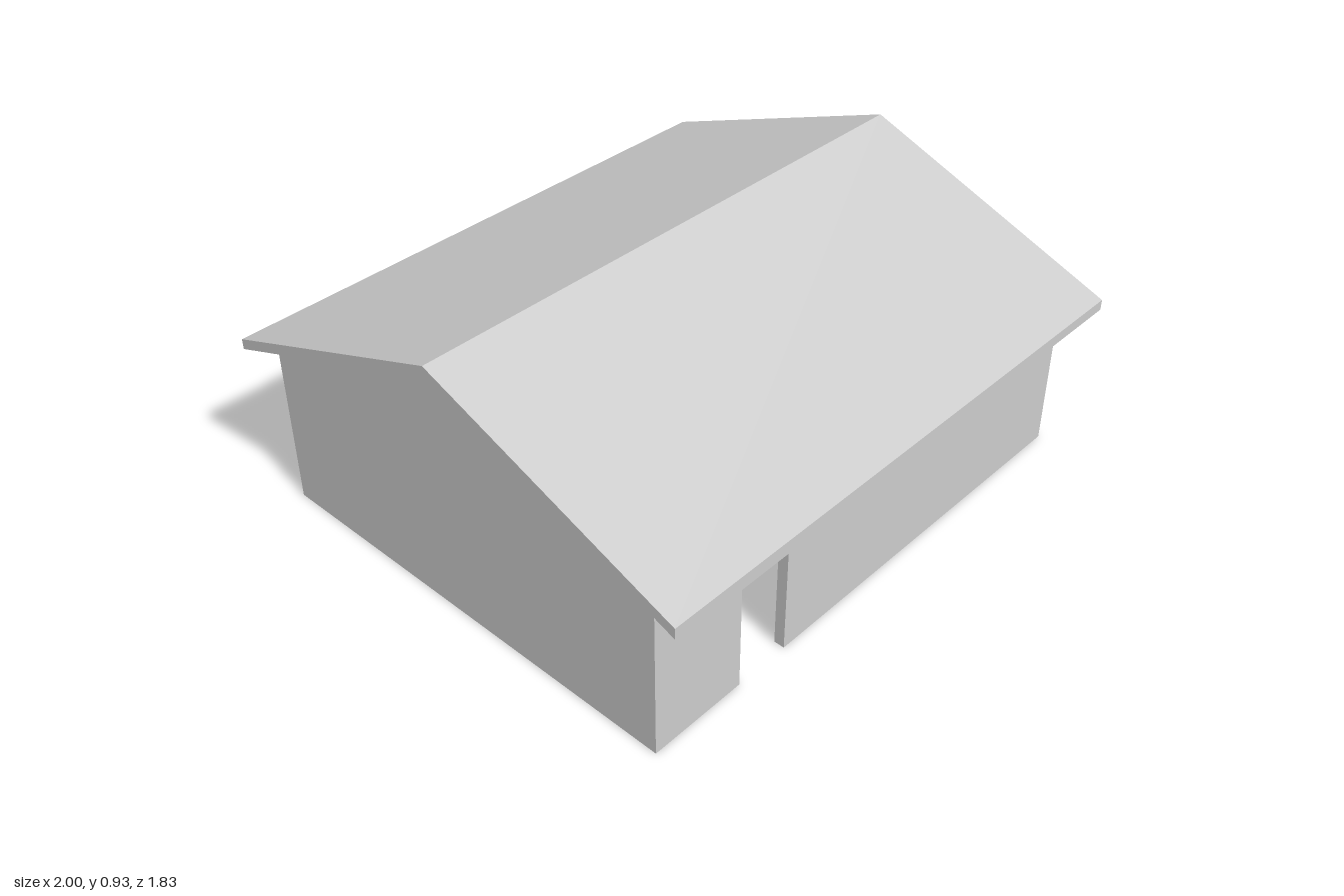
import * as THREE from 'three';

const X = 0.951, Z = 0.796, T = 0.036;         // wall half sizes and thickness
const RIDGE = 0.896, PITCH = 0.377;            // underside of the roof
const EAVE = 0.914, ROOF_T = 0.037;
const CEILING = 0.598, COVE = 0.113;           // flat ceiling height, width of its sloped edge
const under = z => RIDGE - PITCH * Math.abs(z);

const outline = points => new THREE.Shape(points.map(p => new THREE.Vector2(...p)));

// Wall panel, outer face towards +z, with mitred ends; innerTop gives the inner top height
function panel(points, half, topY, innerTop) {
  const g = new THREE.ExtrudeGeometry(outline(points), { depth: T, bevelEnabled: false });
  const p = g.attributes.position;
  for (let i = 0; i < p.count; i++) {
    if (p.getZ(i) > T / 2) continue;
    const x = THREE.MathUtils.clamp(p.getX(i), T - half, half - T);
    p.setX(i, x);
    if (p.getY(i) > topY - 0.001) p.setY(i, innerTop(x));
  }
  g.computeVertexNormals();
  return g;
}

// Cross-section drawn across the house and run along its length
function along(points, length) {
  const g = new THREE.ExtrudeGeometry(outline(points), { depth: length, bevelEnabled: false });
  return g.translate(0, 0, -length / 2);
}

export function createModel() {
  const model = new THREE.Group();
  const grey = new THREE.MeshStandardMaterial({ color: 0xcccccc });
  grey.name = 'light grey';

  const add = (name, geometry, angle = 0, distance = 0) => {
    const mesh = new THREE.Mesh(geometry, grey);
    mesh.name = name;
    mesh.rotation.y = angle;
    mesh.position.set(Math.sin(angle) * distance, 0, Math.cos(angle) * distance);
    model.add(mesh);
  };

  // Long walls, the front one with a doorway
  const inner = Z - T, top = under(Z), innerTop = () => under(inner);
  const sides = [[X, 0], [X, top], [-X, top], [-X, 0]];
  const doorway = [[-0.607, 0], [-0.607, 0.368], [-0.41, 0.368], [-0.41, 0]];
  add('frontWall', panel([...sides, ...doorway], X, top, innerTop), 0, Z - T);
  add('backWall', panel(sides, X, top, innerTop), Math.PI, Z - T);

  // Gable walls
  const gable = [[-Z, 0], [Z, 0], [Z, top], [0, RIDGE], [-Z, top]];
  add('leftGable', panel(gable, Z, top, under), Math.PI / 2, X - T);
  add('rightGable', panel(gable, Z, top, under), -Math.PI / 2, X - T);

  // Pitched roof with overhanging eaves
  const eave = under(EAVE);
  add('roof', along([
    [-EAVE, eave], [0, RIDGE], [EAVE, eave],
    [EAVE, eave + ROOF_T], [0, RIDGE + ROOF_T], [-EAVE, eave + ROOF_T],
  ], 2), Math.PI / 2);

  // Flat ceiling that slopes down to the long walls, filling the loft
  const flat = inner - COVE, low = CEILING - COVE * PITCH;
  add('ceiling', along([
    [-inner, low], [-flat, CEILING], [flat, CEILING], [inner, low],
    [inner, under(inner)], [0, RIDGE], [-inner, under(inner)],
  ], 2 * (X - T)), Math.PI / 2);

  return model;
}
